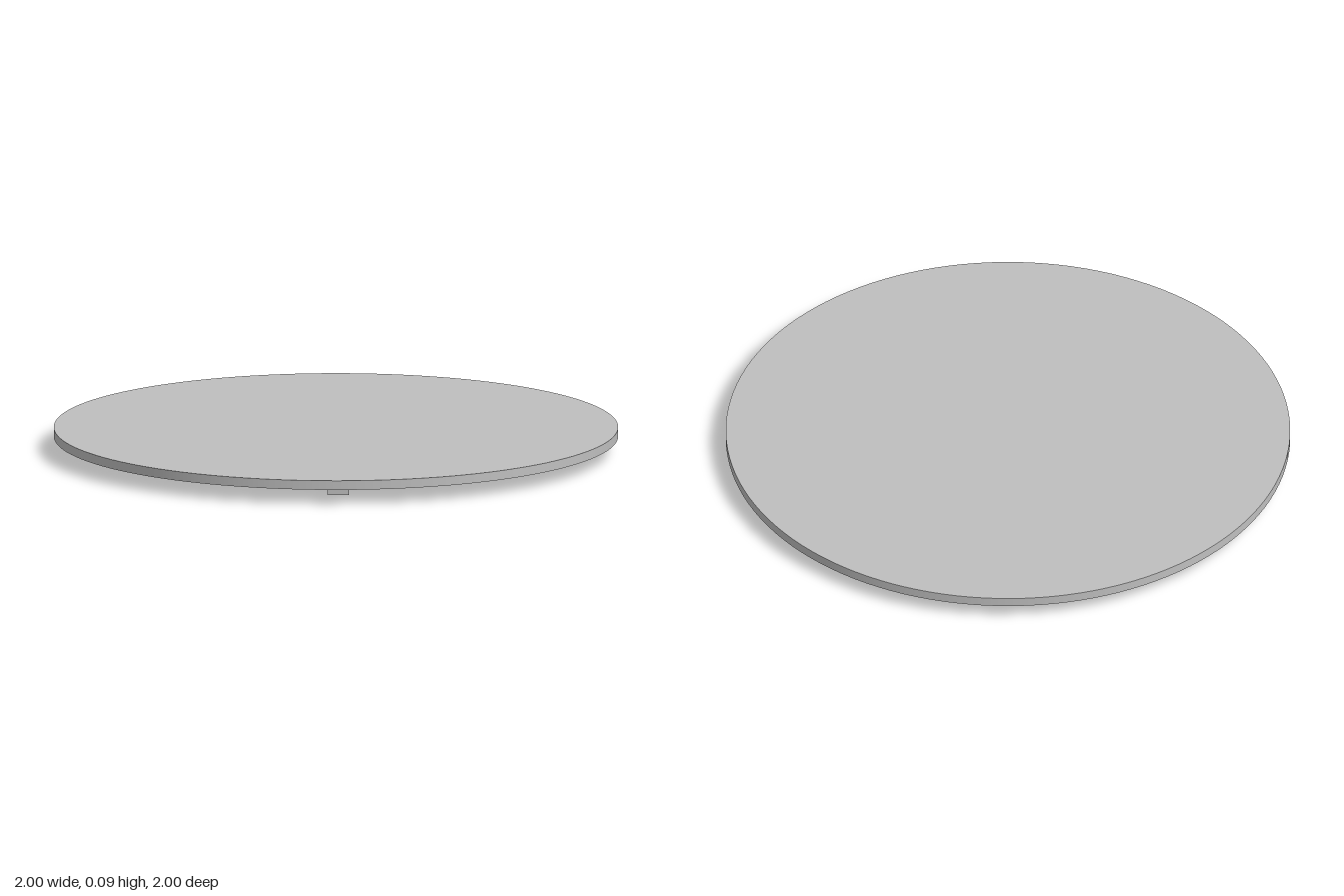
import * as THREE from 'three';

export function createModel() {
  const model = new THREE.Group();
  model.name = 'turntable';
  const grey = new THREE.MeshStandardMaterial({ color: 0xbfbfbf });
  grey.name = 'plain grey';

  const add = (parent, name, geometry, x, y, z) => {
    const mesh = new THREE.Mesh(geometry, grey);
    mesh.name = name;
    mesh.position.set(x, y, z);
    parent.add(mesh);
    return mesh;
  };

  // Round plate
  const top = 0.086, underside = 0.053;
  add(model, 'plate', new THREE.CylinderGeometry(1, 1, top - underside, 128), 0, (top + underside) / 2, 0);

  // Central hub with a finely bevelled lower edge
  const hubBottom = 0.011, bevel = 0.004;
  const hubHeight = underside - hubBottom - bevel;
  add(model, 'hub', new THREE.CylinderGeometry(0.2, 0.2, hubHeight, 64, 1, true), 0, underside - hubHeight / 2, 0);
  add(model, 'hubBevel', new THREE.CylinderGeometry(0.2, 0.2 - bevel, bevel, 64), 0, hubBottom + bevel / 2, 0);

  // Four diagonal strip arms, each ending in a bent-down foot
  const reach = 0.818, width = 0.075, strip = 0.01;
  for (let i = 0; i < 4; i++) {
    const arm = new THREE.Group();
    arm.name = 'supportArm';
    arm.rotation.y = Math.PI / 4 + i * Math.PI / 2;
    const length = reach - 0.15;
    add(arm, 'armStrip', new THREE.BoxGeometry(length, strip, width), reach - length / 2, underside - strip / 2, 0);
    const drop = underside - strip;
    add(arm, 'foot', new THREE.BoxGeometry(strip, drop, width), reach - strip / 2, drop / 2, 0);
    model.add(arm);
  }
  return model;
}
